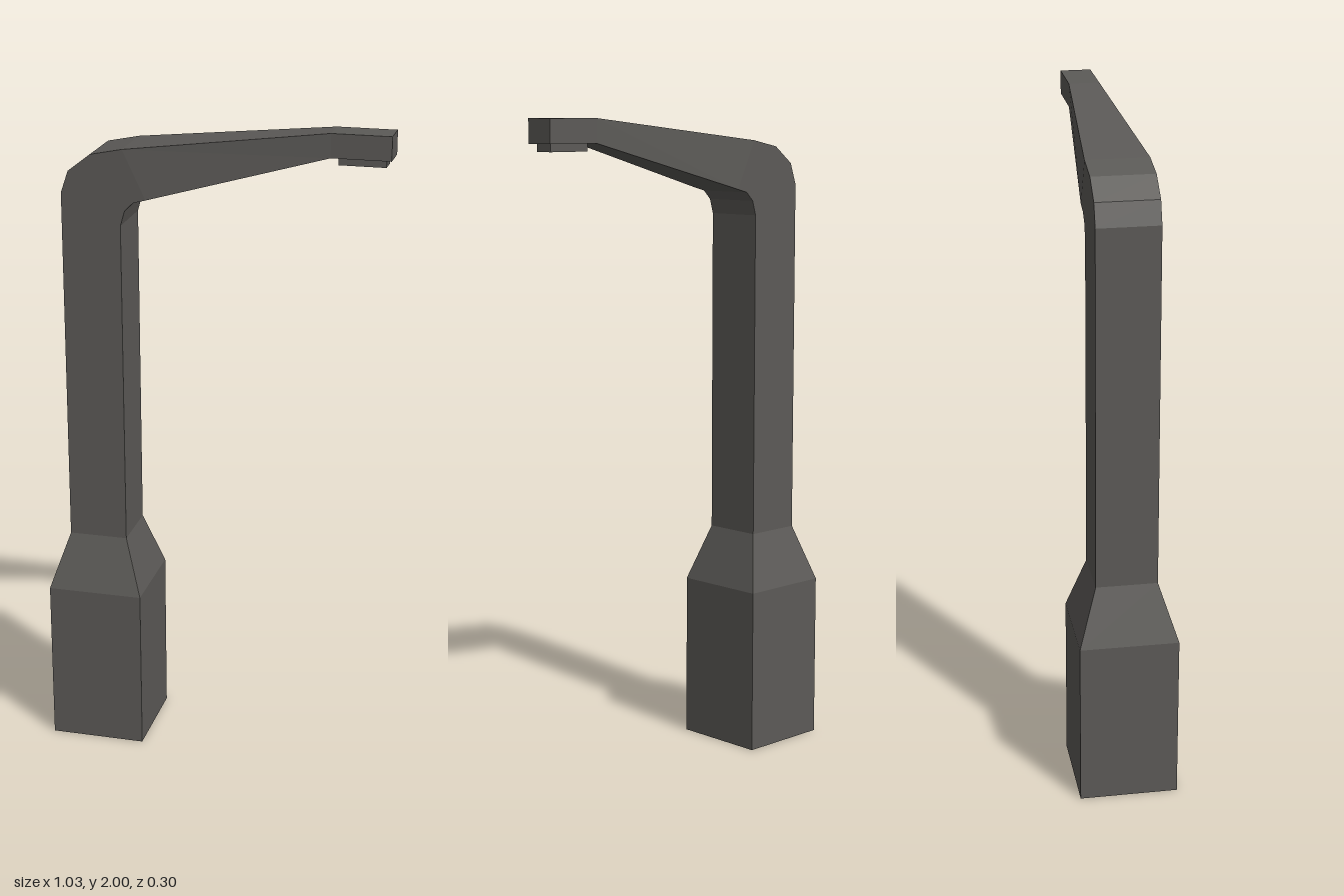
import * as THREE from 'three';

const material = new THREE.MeshStandardMaterial({ color: 0x5c5a57, flatShading: true });

// Lofts a closed solid through rectangular sections: [outerX, outerY, innerX, innerY, halfDepth]
function loft(sections) {
  const rings = sections.map(([ox, oy, ix, iy, h]) => [
    [ox, oy, h], [ox, oy, -h], [ix, iy, -h], [ix, iy, h],
  ]);
  const pos = [];
  const quad = (a, b, c, d) => pos.push(...a, ...b, ...c, ...a, ...c, ...d);
  for (let i = 0; i < rings.length - 1; i++) {
    const r = rings[i], s = rings[i + 1];
    for (let k = 0; k < 4; k++) {
      const n = (k + 1) % 4;
      quad(r[n], r[k], s[k], s[n]);
    }
  }
  quad(...rings[0]);
  quad(...[...rings[rings.length - 1]].reverse());
  const geo = new THREE.BufferGeometry();
  geo.setAttribute('position', new THREE.Float32BufferAttribute(pos, 3));
  geo.computeVertexNormals();
  return geo;
}

export function createModel() {
  const group = new THREE.Group();
  group.name = 'streetLamp';
  const add = (name, geometry) => {
    const mesh = new THREE.Mesh(geometry, material);
    mesh.name = name;
    group.add(mesh);
    return mesh;
  };

  // Square base, tapered collar, post, rounded bend and tapering arm
  add('postAndArm', loft([
    [-0.517, 0, -0.22, 0, 0.149],
    [-0.517, 0.515, -0.22, 0.515, 0.149],
    [-0.46, 0.69, -0.278, 0.69, 0.093],
    [-0.46, 1.79, -0.278, 1.70, 0.093],
    [-0.437, 1.857, -0.265, 1.745, 0.093],
    [-0.368, 1.91, -0.238, 1.772, 0.093],
    [-0.27, 1.93, -0.2, 1.782, 0.093],
    [0.34, 2, 0.34, 1.928, 0.047],
    [0.517, 2, 0.517, 1.928, 0.047],
  ]));

  // Light panel under the arm tip
  add('lightPanel', new THREE.BoxGeometry(0.14, 0.026, 0.06)).position.set(0.43, 1.918, 0);

  return group;
}
